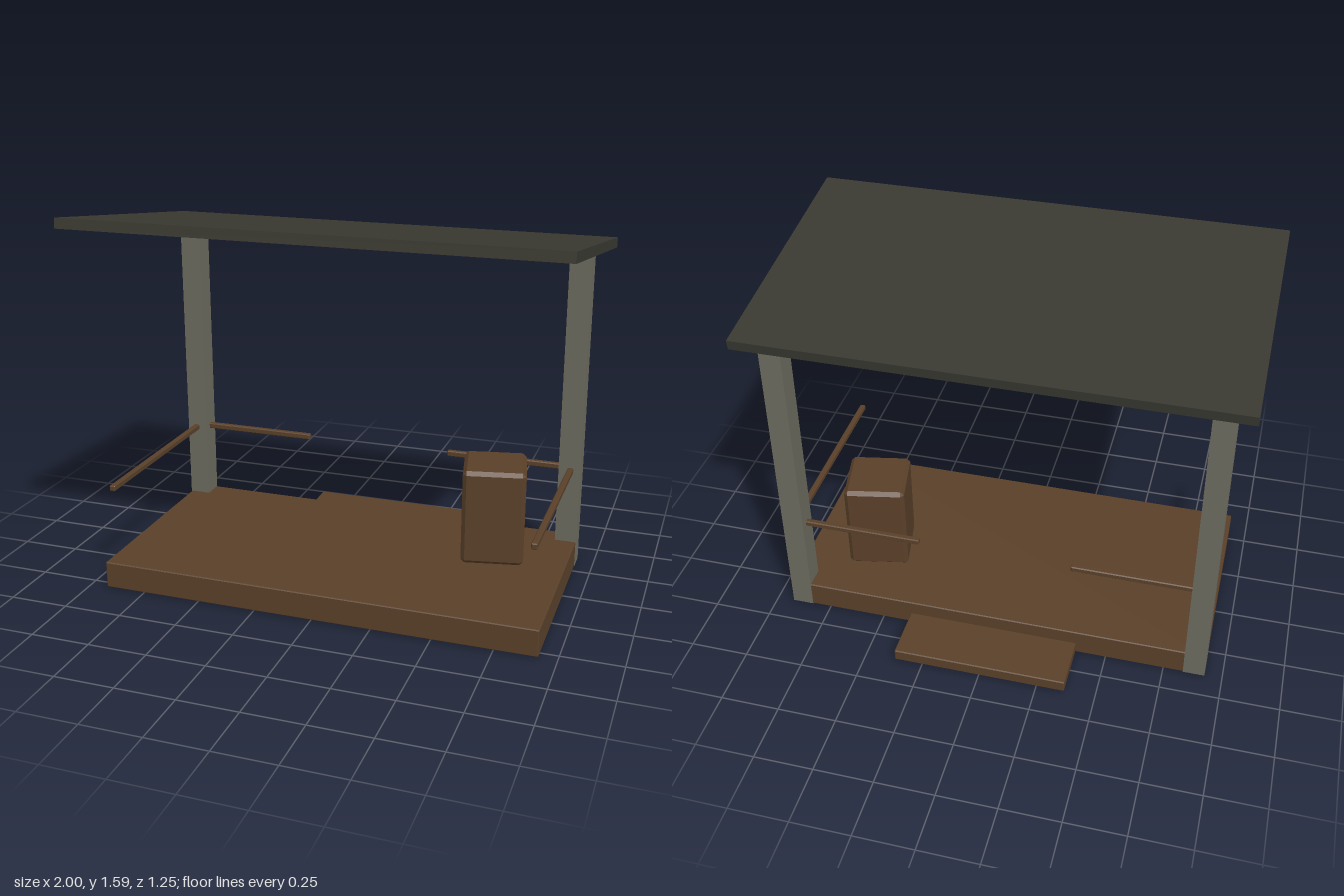
import * as THREE from 'three';
import { ConvexGeometry } from 'three/addons/geometries/ConvexGeometry.js';

const material = (name, color) => {
  const m = new THREE.MeshStandardMaterial({ color });
  m.name = name;
  return m;
};

// Box with flat chamfers on every edge: three points at each corner
function chamferBox(w, h, d, c) {
  const points = [];
  for (const sx of [-1, 1]) for (const sy of [-1, 1]) for (const sz of [-1, 1]) {
    const x = w / 2, y = h / 2, z = d / 2;
    points.push(
      new THREE.Vector3(sx * x, sy * (y - c), sz * (z - c)),
      new THREE.Vector3(sx * (x - c), sy * y, sz * (z - c)),
      new THREE.Vector3(sx * (x - c), sy * (y - c), sz * z));
  }
  return new ConvexGeometry(points);
}

export function createModel() {
  const wood = material('brown wood', 0x5a4029);
  const postGrey = material('weathered grey', 0x6b6b5f);
  const roofDark = material('dark roof', 0x393931);

  const model = new THREE.Group();
  model.name = 'shelter';

  const add = (name, geometry, mat, x, y, z) => {
    const mesh = new THREE.Mesh(geometry, mat);
    mesh.name = name;
    mesh.position.set(x, y, z);
    model.add(mesh);
    return mesh;
  };

  // Floor and the low step behind it
  add('platform', chamferBox(1.85, 0.115, 0.928, 0.004), wood, 0, 0.0575, 0.074);
  add('rearStep', chamferBox(0.74, 0.052, 0.235, 0.004), wood, 0, 0.031, -0.508);

  // Posts, roof blocks and rails, mirrored left and right
  for (const [side, s] of [['left', 1], ['right', -1]]) {
    add(side + 'Post', new THREE.BoxGeometry(0.092, 1.4, 0.092), postGrey, s * 0.88, 0.7, -0.345);
    const block = add(side + 'RoofBlock', chamferBox(0.06, 0.03, 0.06, 0.004), wood, s * 0.885, 1.402, -0.345);
    block.rotation.x = -0.139;
    add(side + 'SideRail', chamferBox(0.025, 0.025, 0.835, 0.004), wood, s * 0.885, 0.446, 0.0975);
    add(side + 'BackRail', chamferBox(0.53, 0.025, 0.025, 0.004), wood, s * 0.593, 0.446, -0.345);
  }

  // Sloping roof, higher at the front
  const roof = add('roof', new THREE.BoxGeometry(2, 0.042, 1.116), roofDark, 0, 1.4925, 0.07);
  roof.rotation.x = -0.139;

  // Crate, turned slightly on the floor
  const crate = add('crate', chamferBox(0.262, 0.412, 0.268, 0.016), wood, 0.605, 0.331, -0.067);
  crate.rotation.y = 0.2;

  return model;
}
